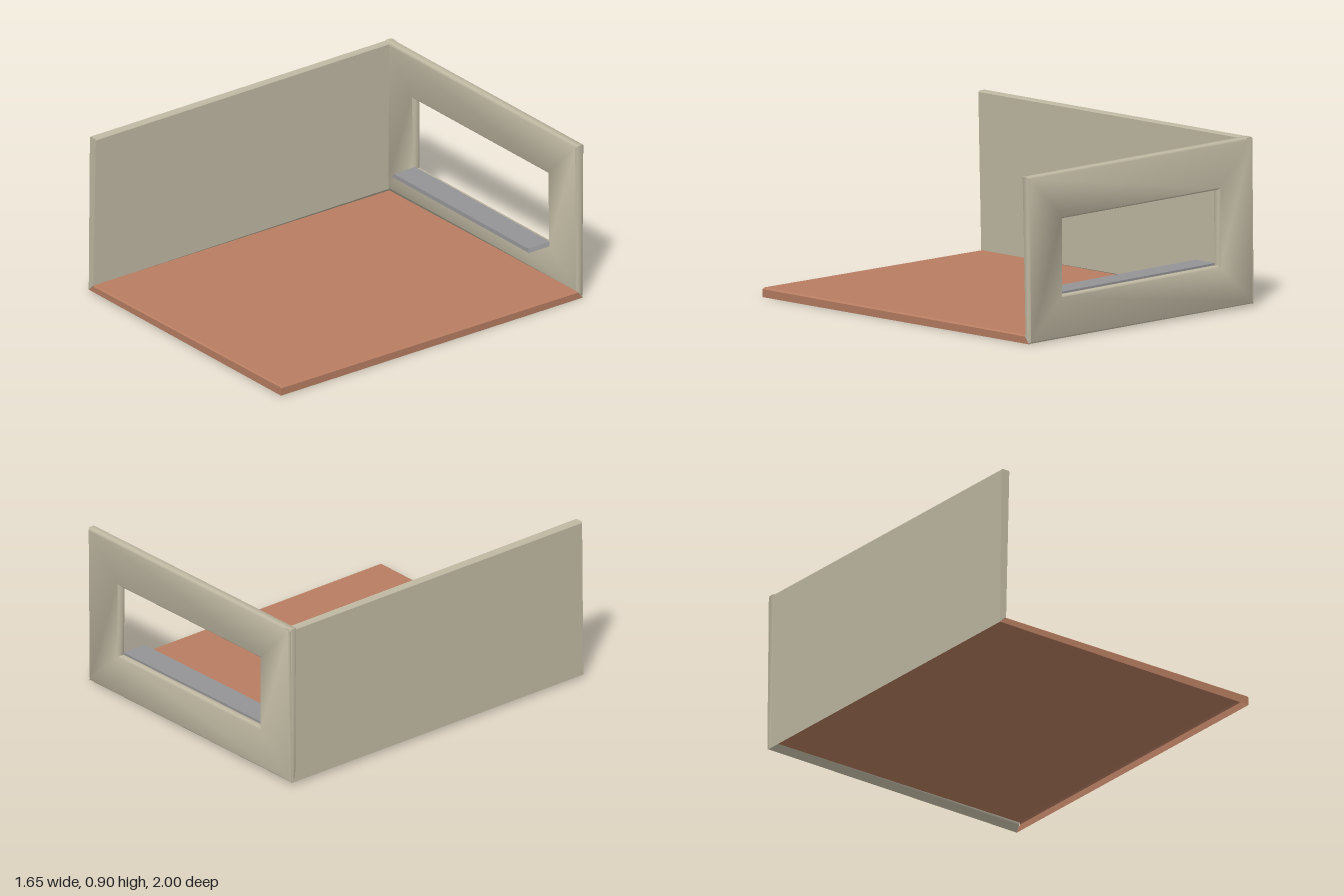
import * as THREE from 'three';
import { toCreasedNormals } from 'three/addons/utils/BufferGeometryUtils.js';

const paint = (name, color, side = THREE.FrontSide) => {
  const m = new THREE.MeshStandardMaterial({ color, side });
  m.name = name;
  return m;
};

// Skin a row of equal sections, each running counter-clockwise about the row's direction.
// ring joins the last section to the first; sheet leaves the sections open and uncapped.
function loft(loops, { ring = false, sheet = false, crease = 0.3 } = {}) {
  const n = loops[0].length, count = loops.length, index = [];
  for (let i = 0; i < (ring ? count : count - 1); i++) {
    const p = i * n, q = ((i + 1) % count) * n;
    for (let j = 0; j < (sheet ? n - 1 : n); j++) {
      const k = (j + 1) % n;
      index.push(p + j, p + k, q + k, p + j, q + k, q + j);
    }
  }
  if (!ring && !sheet) {
    const last = (count - 1) * n;
    for (let j = 1; j < n - 1; j++) index.push(0, j + 1, j, last, last + j, last + j + 1);
  }
  const g = new THREE.BufferGeometry();
  g.setAttribute('position', new THREE.Float32BufferAttribute(loops.flat(2), 3));
  g.setIndex(index);
  return toCreasedNormals(g, crease);
}

export function createModel() {
  const group = new THREE.Group();
  const plaster = paint('cream plaster', 0xc0b9a3);
  const terracotta = paint('terracotta floor', 0xb87e62, THREE.DoubleSide);
  const grey = paint('grey sill', 0x949497);
  const add = (name, geometry, material) => {
    const mesh = new THREE.Mesh(geometry, material);
    mesh.name = name;
    group.add(mesh);
  };

  // Floor: a sheet turned down into a rim along the right and front edges, hollow underneath
  const floorRows = [
    [[0.811, 0.004, -0.998], [0.813, 0.042, -0.965], [0.804, 0.05, -0.958], [-0.785, 0.052, -0.958]],
    [[0.811, 0.004, 0.992], [0.813, 0.047, 0.992], [0.804, 0.056, 0.992], [-0.785, 0.058, 0.992]],
    [[0.811, 0.004, 1], [0.812, 0.046, 1], [0.804, 0.05, 1], [-0.785, 0.052, 1]],
    [[0.811, 0.004, 1], [0.811, 0.004, 1], [0.804, 0.004, 1], [-0.825, 0.02, 1]],
  ];
  add('floor', loft(floorRows, { sheet: true }), terracotta);

  // Left-hand wall with a softened top edge and a mitred foot
  const wall = [[-0.825, 0.02], [-0.785, 0.057], [-0.764, 0.899], [-0.769, 0.905], [-0.808, 0.906], [-0.815, 0.898]];
  const wallBack = wall.map(([x, y]) => [x > -0.79 ? x - 0.008 : x, y, -0.997]);
  const wallFront = wall.map(([x, y]) => [x, y, 1]);
  add('sideWall', loft([wallBack, wallFront]), plaster);

  // Back wall: one bevelled section carried round the window opening, mitred at the foot
  const corners = [
    { outer: [-0.825, 0.021], inner: [-0.571, 0.251] },
    { outer: [0.812, 0.005], inner: [0.568, 0.236] },
    { outer: [0.821, 0.889], inner: [0.568, 0.643] },
    { outer: [-0.815, 0.906], inner: [-0.571, 0.655] },
  ];
  const c = 0.01;
  const frame = corners.map(({ outer, inner }) => {
    const sx = Math.sign(outer[0]), sy = outer[1] > 0.45 ? 1 : -1;
    const foot = sy < 0 ? 0.034 : 0;
    const point = ([x, y], d, front, inset, lift = 0) => {
      const py = y + sy * d + lift;
      const z = front ? -0.96 + 0.016 * py - inset : -1 + inset;
      return [x + sx * d, py, z];
    };
    return [
      point(outer, 0, false, c), point(outer, -c, false, 0),
      point(inner, c, false, 0), point(inner, 0, false, c),
      point(inner, 0, true, c), point(inner, c, true, 0),
      point(outer, -c, true, 0, foot), point(outer, 0, true, c, foot),
    ];
  });
  add('windowWall', loft(frame, { ring: true, crease: 0.9 }), plaster);

  // Window sill, sloping gently with the opening
  const sill = [[-0.585, -0.572, 0.241], [0.58, 0.57, 0.226]].map(([low, high, y]) => [
    [low, y, -0.965], [high, y + 0.021, -0.965], [high, y + 0.021, -0.822], [low, y, -0.82],
  ]);
  add('windowSill', loft(sill), grey);

  return group;
}
